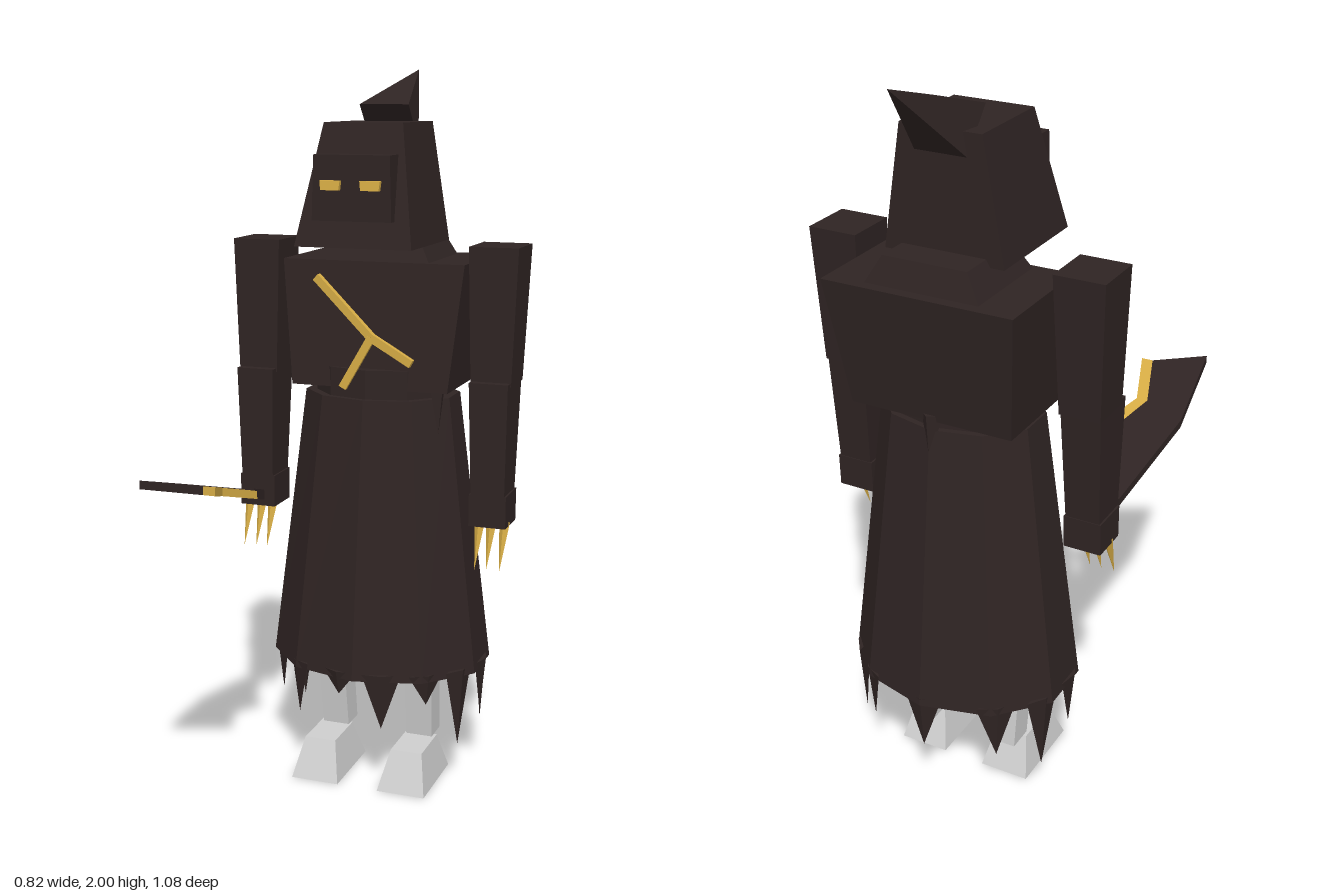
import * as THREE from 'three';

const mat = (name, color) => {
  const m = new THREE.MeshStandardMaterial({ color, flatShading: true, side: THREE.DoubleSide });
  m.name = name;
  return m;
};

export function createModel() {
  const model = new THREE.Group();
  model.name = 'hoodedFigure';
  const cloth = mat('dark cloth', 0x2f2423);
  const gold = mat('gold', 0xd6ac45);
  const pale = mat('pale grey', 0xcecece);

  const add = (name, geometry, material, parent = model) => {
    const mesh = new THREE.Mesh(geometry, material);
    mesh.name = name;
    parent.add(mesh);
    return mesh;
  };

  // Box whose bottom and top are rectangles [x0, x1, z0, z1]
  const frustum = (y0, bottom, y1, top) => {
    const g = new THREE.BoxGeometry(1, 1, 1);
    const p = g.attributes.position;
    for (let i = 0; i < p.count; i++) {
      const up = p.getY(i) > 0;
      const r = up ? top : bottom;
      p.setXYZ(i, p.getX(i) < 0 ? r[0] : r[1], up ? y1 : y0, p.getZ(i) < 0 ? r[2] : r[3]);
    }
    g.computeVertexNormals();
    return g;
  };

  // Ten-sided oval tube, radii [rx, rz], around z = -0.237
  const oval = (y0, r0, y1, r1, open) => {
    const g = new THREE.CylinderGeometry(1, 1, 1, 10, 1, open);
    const p = g.attributes.position;
    for (let i = 0; i < p.count; i++) {
      const up = p.getY(i) > 0;
      const r = up ? r1 : r0;
      p.setXYZ(i, p.getX(i) * r[0], up ? y1 : y0, p.getZ(i) * r[1] - 0.237);
    }
    g.computeVertexNormals();
    return g;
  };

  // Spike from a base centre to a tip
  const spike = (base, tip, radius, sides = 4) => {
    const a = new THREE.Vector3(...base), d = new THREE.Vector3(...tip).sub(a);
    const g = new THREE.ConeGeometry(radius, d.length(), sides);
    g.translate(0, d.length() / 2, 0);
    g.applyQuaternion(new THREE.Quaternion().setFromUnitVectors(
      new THREE.Vector3(0, 1, 0), d.normalize()));
    return g.translate(a.x, a.y, a.z);
  };

  // Robe
  add('skirt', oval(0.34, [0.32, 0.255], 1.12, [0.222, 0.168], true), cloth);
  add('skirtTop', oval(1.1, [0.222, 0.168], 1.12, [0.22, 0.166], false), cloth);
  add('waist', oval(1.1, [0.19, 0.15], 1.2, [0.19, 0.15], false), cloth);
  add('torso', frustum(1.145, [-0.225, 0.225, -0.4, -0.115], 1.49, [-0.26, 0.26, -0.46, -0.145]), cloth);
  add('collar', frustum(1.49, [-0.155, 0.155, -0.43, -0.16], 1.56, [-0.115, 0.115, -0.41, -0.19]), cloth);

  // Ragged hem: tip positions of flattened triangular tatters
  const tatters = [
    [-0.2, 0.2, -0.03], [0.08, 0.2, 0], [0.295, 0.135, -0.115], [-0.32, 0.135, -0.34],
    [0.3, 0.2, -0.235], [-0.31, 0.2, -0.2], [0.2, 0.2, -0.44], [-0.2, 0.2, -0.43],
    [0, 0.2, -0.47], [0.29, 0.135, -0.34], [0.22, 0.27, -0.03], [-0.05, 0.29, 0.02],
  ];
  tatters.forEach(([x, y, z]) => {
    const angle = Math.atan2(x / 0.32, (z + 0.237) / 0.255);
    const h = 0.36 - y;
    const g = new THREE.ConeGeometry(0.055, h, 4);
    g.scale(1, 1, 0.3).rotateX(Math.PI).rotateY(Math.atan2(x, z + 0.237));
    g.translate(Math.sin(angle) * 0.3, y + h / 2, Math.cos(angle) * 0.237 - 0.237);
    add('hemTatter', g, cloth);
  });
  add('backTassel', spike([0, 1.16, -0.39], [0, 1.04, -0.41], 0.03), cloth);
  add('frontTassel', spike([0.19, 1.16, -0.14], [0.2, 1.03, -0.12], 0.025), cloth);

  // Hood, face plate and swept-back point
  add('hood', frustum(1.54, [-0.163, 0.163, -0.32, 0.015], 1.86, [-0.11, 0.11, -0.325, -0.07]), cloth);
  add('facePlate', frustum(1.61, [-0.11, 0.11, -0.08, 0.02], 1.78, [-0.105, 0.105, -0.08, 0.02]), cloth);
  const horn = new THREE.ConeGeometry(1, 1, 4, 1);
  horn.rotateY(Math.PI / 4);
  const hp = horn.attributes.position;
  for (let i = 0; i < hp.count; i++) {
    const x = hp.getX(i), z = hp.getZ(i);
    if (hp.getY(i) > 0) hp.setXYZ(i, 0, 2, -0.54);
    else if (Math.abs(x) < 0.1) hp.setXYZ(i, 0, 1.852, -0.28);
    else hp.setXYZ(i, Math.sign(x) * 0.07, z > 0 ? 1.905 : 1.8, z > 0 ? -0.235 : -0.325);
  }
  horn.computeVertexNormals();
  add('hoodPoint', horn, cloth);

  // Eyes, arms, claws and legs, mirrored
  for (const s of [1, -1]) {
    const span = (a, b, z0, z1) => (s > 0 ? [a, b, z0, z1] : [-b, -a, z0, z1]);
    add('eye', frustum(1.69, span(0.03, 0.08, 0.015, 0.035), 1.715, span(0.027, 0.083, 0.015, 0.033)), gold);
    add('upperArm', frustum(1.17, span(0.283, 0.395, -0.265, -0.14), 1.54, span(0.272, 0.408, -0.287, -0.14)), cloth);
    add('forearm', frustum(0.86, span(0.293, 0.387, -0.235, -0.125), 1.18, span(0.285, 0.393, -0.26, -0.115)), cloth);
    add('hand', frustum(0.78, span(0.288, 0.392, -0.235, -0.125), 0.87, span(0.288, 0.392, -0.238, -0.125)), cloth);
    for (const x of [0.31, 0.343, 0.38]) {
      add('claw', spike([s * x, 0.79, -0.165], [s * x, 0.66, -0.115], 0.015), gold);
    }
    add('leg', frustum(0.11, span(0.09, 0.168, -0.275, -0.2), 0.7, span(0.1, 0.18, -0.21, -0.12)), pale);
    add('foot', frustum(0, span(0.06, 0.2, -0.265, -0.025), 0.11, span(0.085, 0.177, -0.22, -0.075)), pale);
  }

  // Forked chest chain
  const fork = [0.025, 1.295, -0.068];
  for (const end of [[-0.14, 1.45, -0.088], [0.14, 1.23, -0.065], [-0.055, 1.155, -0.062]]) {
    const a = new THREE.Vector3(...fork), b = new THREE.Vector3(...end);
    const bar = add('chestChain', new THREE.BoxGeometry(0.016, 0.022, a.distanceTo(b)), gold);
    bar.position.copy(a).lerp(b, 0.5);
    bar.lookAt(b);
  }

  // Notched blade, outlined in x and z, rising toward the front
  const slab = (points, thick) => {
    const shape = new THREE.Shape(points.map(([x, z]) => new THREE.Vector2(x, z)));
    const g = new THREE.ExtrudeGeometry(shape, { depth: thick, bevelEnabled: false });
    g.rotateX(Math.PI / 2).translate(0, thick / 2, 0);
    const p = g.attributes.position;
    for (let i = 0; i < p.count; i++) p.setY(i, p.getY(i) + 0.848 + 0.282 * p.getZ(i));
    g.computeVertexNormals();
    return g;
  };
  add('bladeHandle', slab([[-0.36, -0.2], [-0.32, -0.2], [-0.32, -0.055], [-0.36, -0.055]], 0.03), cloth);
  add('blade', slab([[-0.36, -0.055], [-0.32, -0.055], [-0.23, 0.18], [-0.275, 0.315],
    [-0.22, 0.475], [-0.36, 0.54], [-0.395, 0.27]], 0.022), cloth);
  add('bladeEdge', slab([[-0.23, 0.18], [-0.197, 0.2], [-0.243, 0.315], [-0.187, 0.475],
    [-0.22, 0.475], [-0.275, 0.315]], 0.022), gold);

  return model;
}
